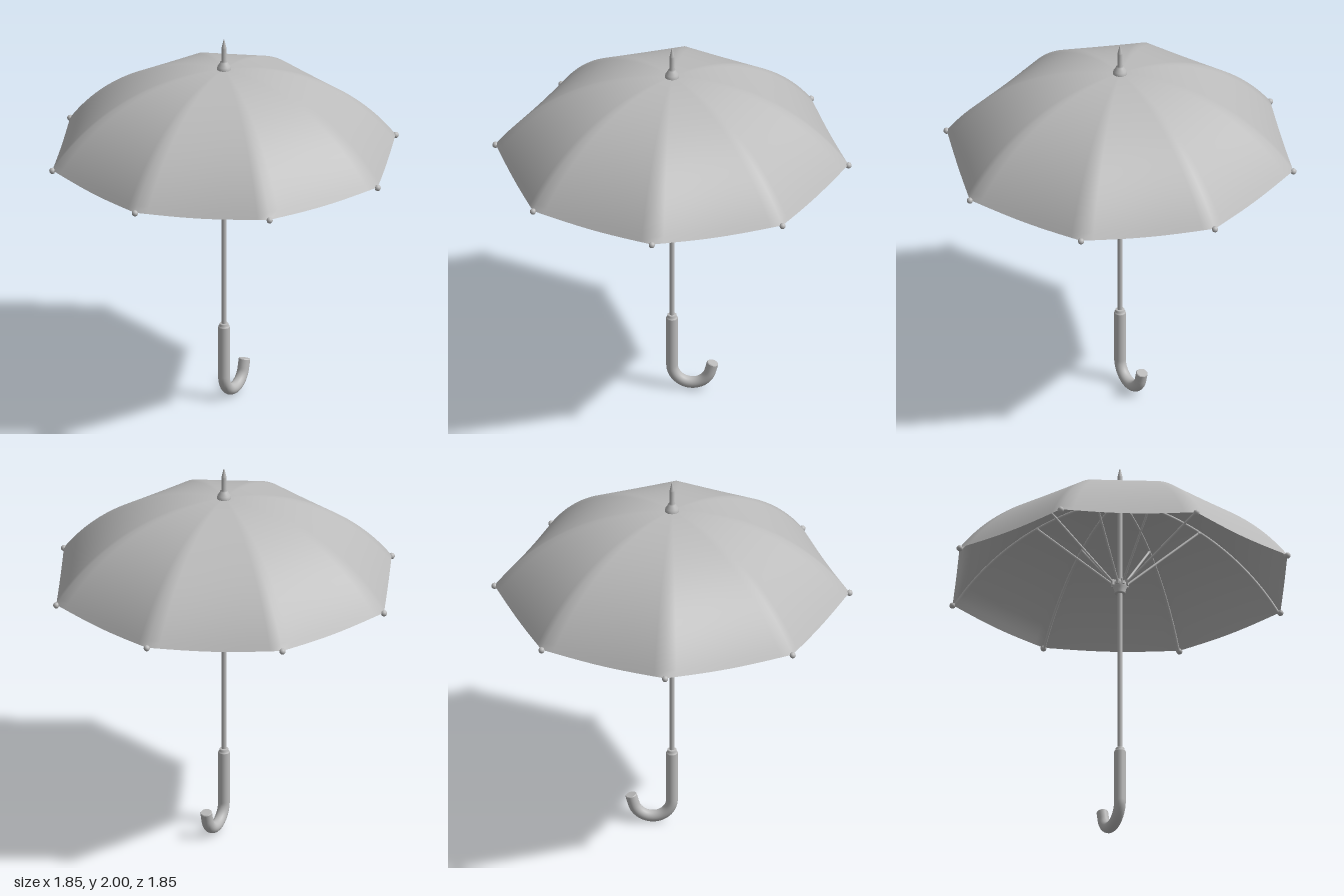
import * as THREE from 'three';
import { mergeVertices } from 'three/addons/utils/BufferGeometryUtils.js';

const RIBS = 8, STEP = (Math.PI * 2) / RIBS;
const APEX = 1.836, RADIUS = 1.12, TIP = 0.907;
const MAX_ANGLE = Math.asin(TIP / RADIUS);

// Rib curve: t runs 0 (apex) to 1 (tip); drop shifts it inwards
function ribPoint(t, drop = 0) {
  const a = t * MAX_ANGLE;
  return new THREE.Vector2((RADIUS - drop) * Math.sin(a), APEX - RADIUS + (RADIUS - drop) * Math.cos(a));
}

// Eight panels stretched nearly straight between the ribs, hem dipping slightly
function canopyGeometry() {
  const geo = new THREE.PlaneGeometry(1, 1, RIBS * 12, 28);
  const pos = geo.attributes.position;
  for (let i = 0; i < pos.count; i++) {
    const u = pos.getX(i) + 0.5, t = 0.5 - pos.getY(i);
    const theta = (u * RIBS % 1) * STEP + Math.floor(u * RIBS) * STEP;
    const fromMiddle = (u * RIBS % 1) * STEP - STEP / 2;
    const p = ribPoint(t);
    const r = p.x * Math.cos(STEP / 2) / Math.cos(fromMiddle);
    const dip = 0.014 * Math.pow(t, 4) * Math.cos(fromMiddle / STEP * Math.PI);
    pos.setXYZ(i, r * Math.sin(theta), p.y - dip, r * Math.cos(theta));
  }
  geo.deleteAttribute('uv');
  geo.deleteAttribute('normal');
  const merged = mergeVertices(geo, 1e-5);
  merged.computeVertexNormals();
  return merged;
}

export function createModel() {
  const model = new THREE.Group();
  model.name = 'umbrella';
  const grey = new THREE.MeshStandardMaterial({ color: 0xbbbbbb });
  grey.name = 'grey';
  const cloth = new THREE.MeshStandardMaterial({ color: 0xbbbbbb, side: THREE.DoubleSide });
  cloth.name = 'grey cloth';

  const add = (name, geometry, parent = model, material = grey) => {
    const mesh = new THREE.Mesh(geometry, material);
    mesh.name = name;
    parent.add(mesh);
    return mesh;
  };
  const lathe = (name, pairs) =>
    add(name, new THREE.LatheGeometry(pairs.map(([r, y]) => new THREE.Vector2(r, y)), 24));
  const v = (x, y, z) => new THREE.Vector3(x, y, z);

  add('canopy', canopyGeometry(), model, cloth);

  // Shaft
  add('shaft', new THREE.CylinderGeometry(0.013, 0.013, 1.45, 20)).position.y = 1.115;

  // Ferrule with bell-shaped collar and pointed spike
  lathe('ferrule', [[0, 1.825], [0.036, 1.825], [0.037, 1.838], [0.033, 1.852], [0.023, 1.866],
    [0.02, 1.874], [0.014, 1.88], [0.013, 1.95], [0.012, 1.956], [0.003, 1.996], [0, 2]]);

  // Crown hub under the apex and sliding runner
  lathe('crownHub', [[0, 1.77], [0.022, 1.77], [0.025, 1.785], [0.025, 1.81], [0, 1.81]]);
  lathe('runner', [[0.012, 1.295], [0.027, 1.295], [0.029, 1.3], [0.03, 1.325], [0.036, 1.33],
    [0.036, 1.352], [0.03, 1.358], [0.022, 1.37], [0.012, 1.37]]);

  // Ribs, stretchers, joints and tip balls, one set per crease
  const ribCurve = new THREE.CatmullRomCurve3(Array.from({ length: 12 }, (_, i) => {
    const p = ribPoint(0.02 + 0.98 * i / 11, 0.011);
    return v(0, p.y, p.x);
  }));
  const ribGeo = new THREE.TubeGeometry(ribCurve, 32, 0.007, 8);
  const joint = ribPoint(0.44, 0.017);
  const stretcherGeo = new THREE.TubeGeometry(
    new THREE.LineCurve3(v(0, 1.345, 0.03), v(0, joint.y, joint.x)), 1, 0.006, 8);
  const jointGeo = new THREE.SphereGeometry(0.009, 10, 8);
  const knuckleGeo = new THREE.BoxGeometry(0.014, 0.03, 0.022);
  const ballGeo = new THREE.SphereGeometry(0.016, 16, 12);
  for (let i = 0; i < RIBS; i++) {
    const arm = new THREE.Group();
    arm.name = 'ribAssembly' + (i + 1);
    arm.rotation.y = i * STEP;
    add('rib', ribGeo, arm);
    add('stretcher', stretcherGeo, arm);
    add('stretcherJoint', jointGeo, arm).position.set(0, joint.y, joint.x);
    add('runnerKnuckle', knuckleGeo, arm).position.set(0, 1.352, 0.034);
    add('tipBall', ballGeo, arm).position.set(0, 1.37, TIP);
    model.add(arm);
  }

  // Hooked handle: straight grip, arc, then a short leaning end
  const R = 0.1, CY = 0.13, END = THREE.MathUtils.degToRad(165);
  const path = new THREE.CurvePath();
  const arc = Array.from({ length: 17 }, (_, i) => {
    const a = END * i / 16;
    return v(0, CY - R * Math.sin(a), -R + R * Math.cos(a));
  });
  const last = arc[arc.length - 1];
  const lean = v(0, -Math.cos(END), -Math.sin(END));
  const tip = last.clone().addScaledVector(lean, 0.047);
  path.add(new THREE.LineCurve3(v(0, 0.405, 0), arc[0]));
  path.add(new THREE.CatmullRomCurve3(arc));
  path.add(new THREE.LineCurve3(last, tip));
  add('handle', new THREE.TubeGeometry(path, 80, 0.03, 20));
  const endCap = add('handleEnd', new THREE.CylinderGeometry(0.027, 0.03, 0.004, 20));
  endCap.position.copy(tip).addScaledVector(lean, 0.002);
  endCap.quaternion.setFromUnitVectors(v(0, 1, 0), lean);
  lathe('handleCollar', [[0.03, 0.404], [0.028, 0.41], [0.024, 0.412], [0.024, 0.422], [0.021, 0.426], [0, 0.426]]);

  return model;
}
